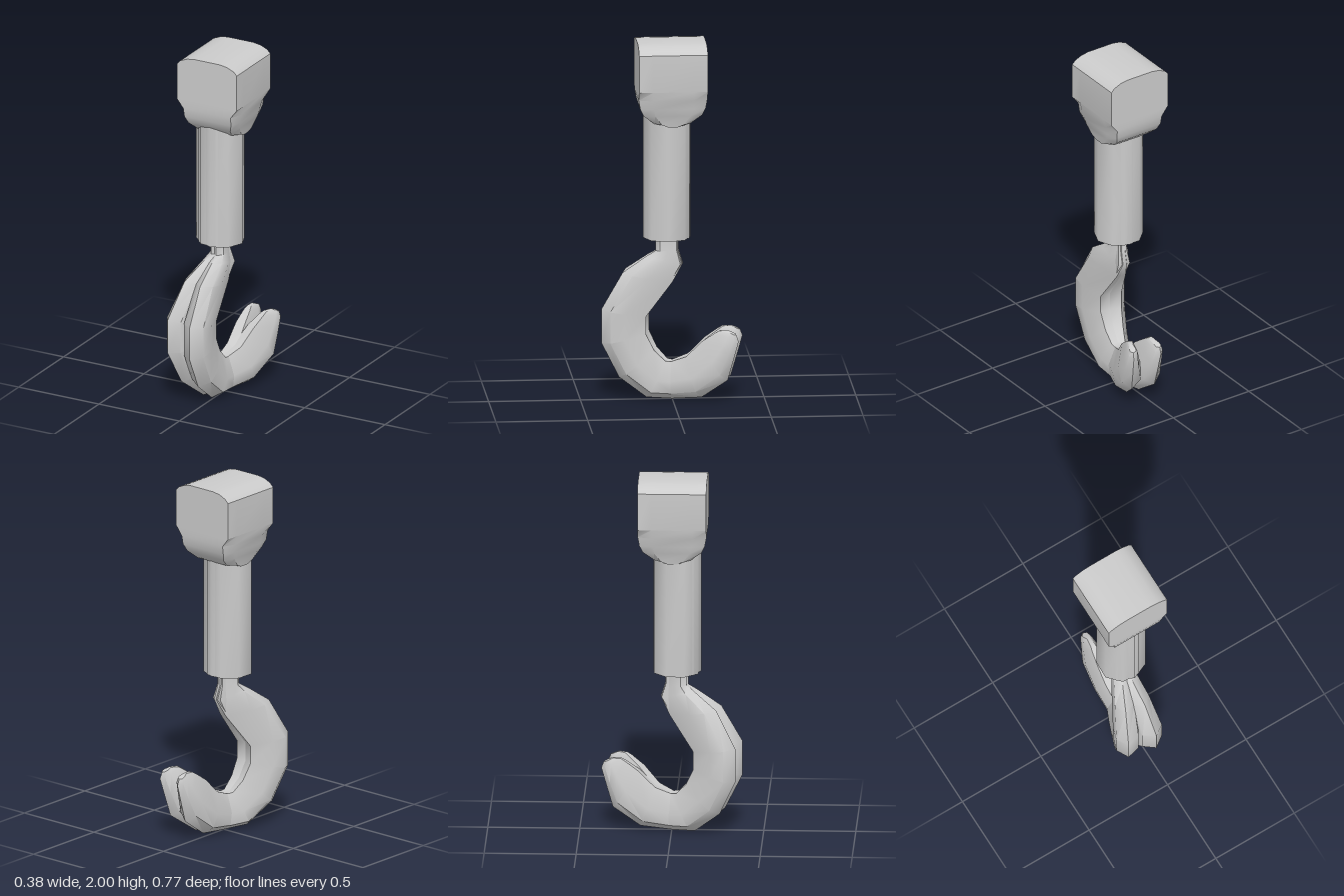
import * as THREE from 'three';
import { toCreasedNormals } from 'three/addons/utils/BufferGeometryUtils.js';

const material = new THREE.MeshStandardMaterial({ color: 0xcccccc });

// Skin a row of closed cross-sections and cap both ends
function loft(loops, crease) {
  const n = loops[0].length;
  const pos = [];
  const tri = (...pts) => pts.forEach((p) => pos.push(p.x, p.y, p.z));
  for (let k = 0; k < loops.length - 1; k++) {
    const a = loops[k], b = loops[k + 1];
    for (let i = 0; i < n; i++) {
      const j = (i + 1) % n;
      tri(a[i], a[j], b[j]);
      tri(a[i], b[j], b[i]);
    }
  }
  const centre = (loop) => loop.reduce((s, p) => s.add(p), new THREE.Vector3()).divideScalar(n);
  const first = loops[0], last = loops[loops.length - 1];
  const c0 = centre(first), c1 = centre(last);
  for (let i = 0; i < n; i++) {
    const j = (i + 1) % n;
    tri(c0, first[j], first[i]);
    tri(c1, last[i], last[j]);
  }
  const geometry = new THREE.BufferGeometry();
  geometry.setAttribute('position', new THREE.Float32BufferAttribute(pos, 3));
  return toCreasedNormals(geometry, crease);
}

function addMesh(parent, name, geometry) {
  const mesh = new THREE.Mesh(geometry, material);
  mesh.name = name;
  parent.add(mesh);
  return mesh;
}

// Hook stations: outer z, y, inner z, y, half width
const STATIONS = [
  [0.09, 0.93, -0.03, 0.93, 0.038],
  [0.09, 0.83, -0.03, 0.84, 0.038],
  [0.14, 0.80, -0.055, 0.76, 0.05],
  [0.27, 0.71, 0.0, 0.66, 0.06],
  [0.385, 0.51, 0.145, 0.47, 0.07],
  [0.385, 0.32, 0.145, 0.37, 0.07],
  [0.29, 0.13, 0.10, 0.28, 0.07],
  [0.14, 0.015, 0.04, 0.22, 0.07],
  [0.0, 0.005, 0.0, 0.215, 0.07],
  [-0.17, 0.025, -0.09, 0.25, 0.07],
  [-0.32, 0.13, -0.18, 0.34, 0.062],
  [-0.355, 0.25, -0.25, 0.39, 0.042],
  [-0.383, 0.35, -0.275, 0.405, 0.028],
  [-0.37, 0.385, -0.32, 0.407, 0.018],
];

// Cross-section: side factor, fraction from outer ridge to inner face
const SECTION = [[0, 0], [-0.87, 0.18], [-1, 0.5], [-0.45, 1], [0.45, 1], [1, 0.5], [0.87, 0.18]];

function hookGeometry() {
  const loops = STATIONS.map(([oz, oy, iz, iy, w]) =>
    SECTION.map(([s, f]) => new THREE.Vector3(s * w, oy + (iy - oy) * f, oz + (iz - oz) * f)));
  return loft(loops, 0.85);
}

// Block levels: y, half width at the middle, half width at the corners, half depth
const LEVELS = [
  [1.545, 0.14, 0.095, 0.04],
  [1.56, 0.143, 0.105, 0.10],
  [1.61, 0.154, 0.13, 0.16],
  [1.65, 0.163, 0.145, 0.178],
  [1.70, 0.174, 0.147, 0.187],
  [1.75, 0.186, 0.186, 0.187],
  [1.955, 0.186, 0.186, 0.187],
  [1.975, 0.167, 0.167, 0.187],
  [1.993, 0.125, 0.125, 0.187],
  [2.0, 0.08, 0.08, 0.187],
];

function blockGeometry() {
  const loops = LEVELS.map(([y, w, c, d]) =>
    [[c, d], [w, 0.6 * d], [w, -0.6 * d], [c, -d], [-c, -d], [-w, -0.6 * d], [-w, 0.6 * d], [-c, d]]
      .map(([x, z]) => new THREE.Vector3(x, y, z + 0.007)));
  return loft(loops, 0.6);
}

export function createModel() {
  const model = new THREE.Group();
  model.name = 'doubleHook';

  addMesh(model, 'topBlock', blockGeometry());

  // Two identical hooks on shanks, one turned about the upright axis
  const hook = hookGeometry();
  const shank = toCreasedNormals(new THREE.CylinderGeometry(0.13, 0.13, 0.745, 8), 0.9);
  [['straight', 0], ['turned', -0.42]].forEach(([prefix, angle]) => {
    const arm = new THREE.Group();
    arm.name = prefix + 'Arm';
    arm.rotation.y = angle;
    addMesh(arm, prefix + 'Hook', hook);
    addMesh(arm, prefix + 'Shank', shank).position.set(0, 1.2775, 0.03);
    model.add(arm);
  });

  return model;
}
